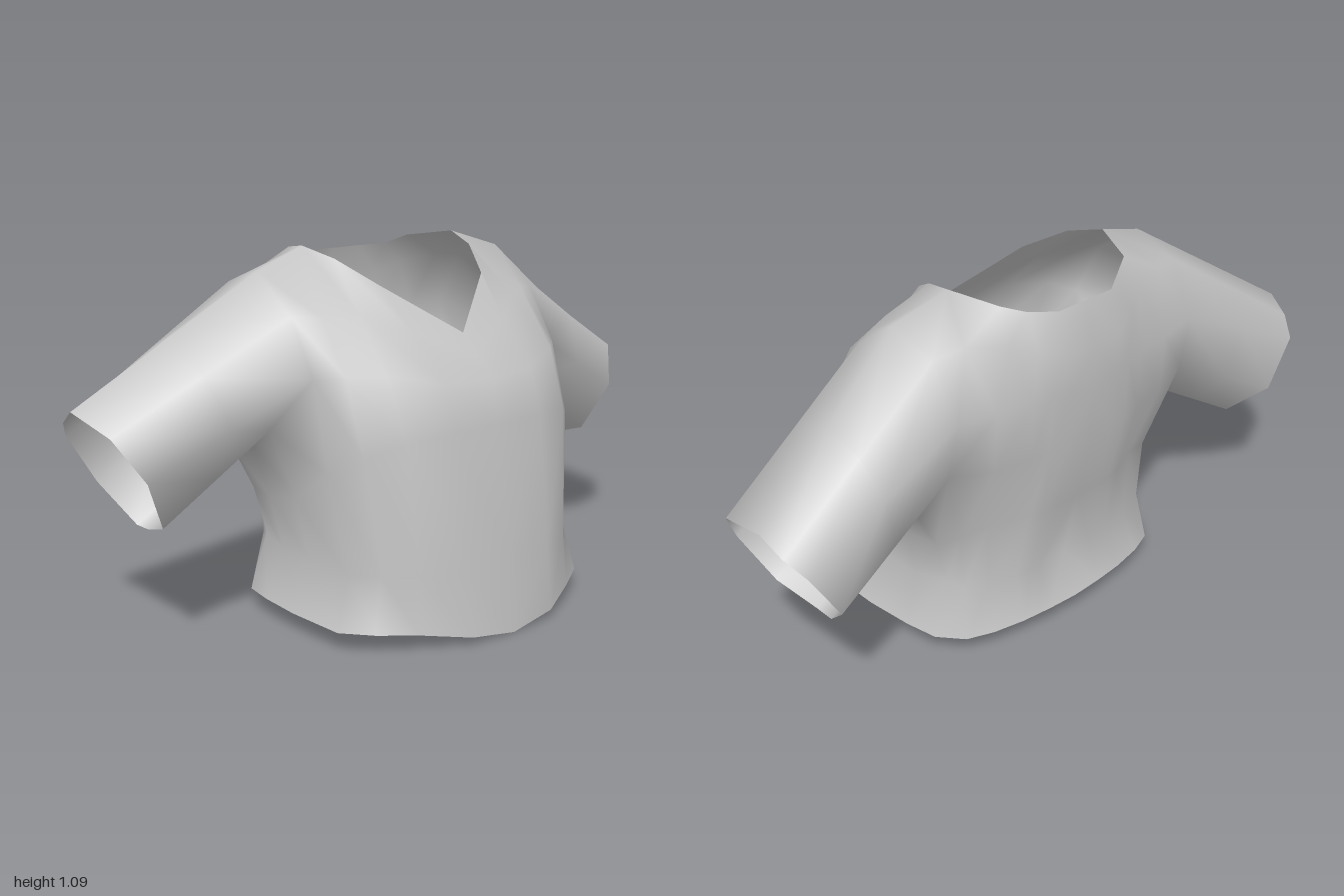
import * as THREE from 'three';
import { mergeVertices } from 'three/addons/utils/BufferGeometryUtils.js';

// Vertical seams of the left half, each running from the hem up to the neckline or shoulder.
const front = [
  [[0, .005, .42], [0, .22, .395], [0, .61, .35], [0, .73, .315], [0, .79, .258], [0, .85, .2]],
  [[.16, .03, .415], [.16, .22, .395], [.17, .61, .348], [.17, .74, .305], [.18, .87, .18], [.2, .99, .07]],
  [[.3, .055, .35], [.29, .22, .34], [.31, .6, .31], [.32, .77, .245], [.3, .92, .1], [.265, 1.06, -.05]],
  [[.41, .065, .285], [.37, .22, .265], [.405, .56, .235], [.41, .77, .17], [.395, .92, .05], [.295, 1.09, -.16]],
  [[.475, .065, .2], [.41, .21, .17], [.445, .5, .13], [.455, .76, .085], [.47, .925, .01], [.47, 1.035, -.14]],
];
// Side seams stop at the armpit.
const side = [
  [[.475, .065, 0], [.41, .21, 0], [.45, .4, -.01], [.48, .59, -.085]],
  [[.46, .065, -.15], [.405, .21, -.13], [.445, .38, -.14], [.49, .54, -.16]],
  [[.44, .065, -.25], [.385, .23, -.24], [.425, .38, -.245], [.5, .525, -.25]],
];
const back = [
  [[.38, .065, -.32], [.36, .22, -.29], [.375, .4, -.29], [.46, .66, -.345], [.45, .83, -.375], [.46, .99, -.29], [.47, 1.035, -.14]],
  [[.3, .065, -.35], [.28, .2, -.305], [.29, .41, -.31], [.33, .64, -.38], [.33, .82, -.39], [.37, 1, -.31], [.295, 1.09, -.16]],
  [[.2, .065, -.37], [.19, .2, -.325], [.18, .42, -.365], [.21, .64, -.4], [.21, .82, -.405], [.25, .98, -.35], [.235, 1.07, -.3]],
  [[.15, .065, -.375], [.14, .2, -.33], [.13, .42, -.375], [.15, .63, -.407], [.15, .82, -.412], [.18, .95, -.39], [.17, 1.045, -.335]],
  [[.1, .065, -.38], [.1, .2, -.33], [.08, .42, -.377], [.09, .62, -.412], [.09, .8, -.417], [.1, .92, -.415], [.1, 1.04, -.38]],
  [[0, .065, -.385], [0, .2, -.33], [0, .42, -.378], [0, .6, -.415], [0, .78, -.42], [0, .91, -.42], [0, 1.04, -.38]],
];

// Armhole loop, and the cuff opening matched to it point by point.
const armhole = [
  ...front[4].slice(3), ...back[0].slice(3, 6).reverse(),
  ...side.map(s => s[3]).reverse(),
];
const cuff = [
  [.92, .53, -.025], [.985, .65, -.09], [1, .695, -.265], [.985, .65, -.335],
  [.95, .6, -.39], [.86, .45, -.39], [.81, .34, -.27], [.81, .34, -.21], [.845, .38, -.08],
];

// Skins neighbouring strips with triangles; sign -1 mirrors to the other side.
function skin(out, strips, sign) {
  const tri = (a, b, c) => {
    for (const p of sign > 0 ? [a, b, c] : [a, c, b]) out.push(p[0] * sign, p[1], p[2]);
  };
  for (let i = 0; i + 1 < strips.length; i++) {
    const [s, t] = [strips[i], strips[i + 1]];
    for (let j = 0; j + 1 < s.length; j++) {
      tri(s[j], t[j], t[j + 1]);
      tri(s[j], t[j + 1], s[j + 1]);
    }
  }
}

export function createModel() {
  const group = new THREE.Group();
  group.name = 'shirt';
  const cloth = new THREE.MeshStandardMaterial({ color: 0xc4c4c4, side: THREE.DoubleSide });
  cloth.name = 'light grey cloth';

  const pos = [], parts = [];
  const part = (name, build) => {
    const start = pos.length / 3;
    build();
    parts.push({ name, start, end: pos.length / 3 });
  };

  // Torso: front and back panels joined by the side strip below the armholes
  part('torso', () => {
    for (const sign of [1, -1]) {
      skin(pos, front, sign);
      skin(pos, [front[4].slice(0, 4), ...side, back[0].slice(0, 4)], sign);
      skin(pos, back, sign);
    }
  });

  // Sleeves: rings from armhole to cuff
  const lerp = t => armhole.map((p, i) => p.map((v, k) => v + (cuff[i][k] - v) * t));
  const rings = [0, 0.5, 1].map(lerp).map(r => [...r, r[0]]);
  for (const [name, sign] of [['leftSleeve', 1], ['rightSleeve', -1]]) {
    part(name, () => skin(pos, rings, sign));
  }

  // Smooth normals are shared across the seams, then the faces are split by part
  const soup = new THREE.BufferGeometry();
  soup.setAttribute('position', new THREE.Float32BufferAttribute(pos, 3));
  const whole = mergeVertices(soup, 1e-4);
  whole.computeVertexNormals();
  const index = Array.from(whole.index.array);
  for (const { name, start, end } of parts) {
    const geo = new THREE.BufferGeometry();
    geo.setAttribute('position', whole.attributes.position);
    geo.setAttribute('normal', whole.attributes.normal);
    geo.setIndex(index.slice(start, end));
    const mesh = new THREE.Mesh(geo, cloth);
    mesh.name = name;
    group.add(mesh);
  }
  return group;
}
